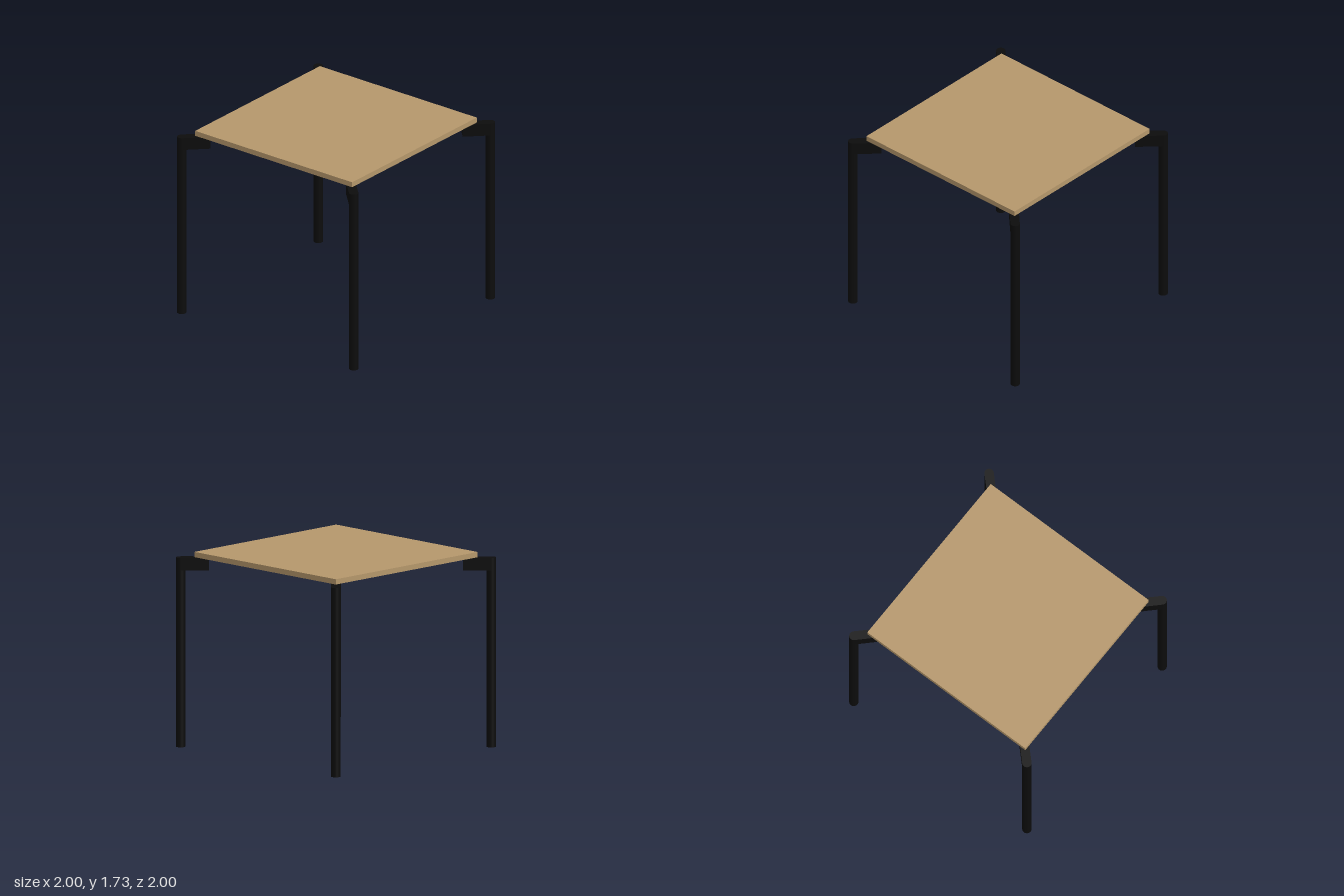
import * as THREE from 'three';

const LEG_HEIGHT = 1.685, LEG_RADIUS = 0.041, LEG_POS = 0.959;
const ARM_LENGTH = 0.247, ARM_HEIGHT = 0.112;
const TOP_SIZE = 1.75, TOP_THICKNESS = 0.047;

export function createModel() {
  const model = new THREE.Group();
  model.name = 'squareTable';

  const wood = new THREE.MeshStandardMaterial({ color: 0xb5976b });
  wood.name = 'lightWood';
  const black = new THREE.MeshStandardMaterial({ color: 0x0c0c0c });
  black.name = 'blackMetal';

  const add = (parent, name, geometry, material, x, y, z) => {
    const mesh = new THREE.Mesh(geometry, material);
    mesh.name = name;
    mesh.position.set(x, y, z);
    parent.add(mesh);
  };

  // Thin square top resting on the four arms
  add(model, 'tableTop', new THREE.BoxGeometry(TOP_SIZE, TOP_THICKNESS, TOP_SIZE), wood,
    0, LEG_HEIGHT + TOP_THICKNESS / 2, 0);

  // Round leg with a flat arm pointing diagonally towards the centre
  const legGeometry = new THREE.CylinderGeometry(LEG_RADIUS, LEG_RADIUS, LEG_HEIGHT, 32);
  const armGeometry = new THREE.BoxGeometry(LEG_RADIUS * 2, ARM_HEIGHT, ARM_LENGTH);
  const corners = [['frontLeft', 1, 1], ['backLeft', 1, -1], ['backRight', -1, -1], ['frontRight', -1, 1]];
  for (const [name, sx, sz] of corners) {
    const corner = new THREE.Group();
    corner.name = name + 'Support';
    corner.position.set(sx * LEG_POS, 0, sz * LEG_POS);
    corner.rotation.y = Math.atan2(-sx, -sz);
    add(corner, name + 'Leg', legGeometry, black, 0, LEG_HEIGHT / 2, 0);
    add(corner, name + 'Arm', armGeometry, black, 0, LEG_HEIGHT - ARM_HEIGHT / 2, ARM_LENGTH / 2);
    model.add(corner);
  }

  return model;
}
